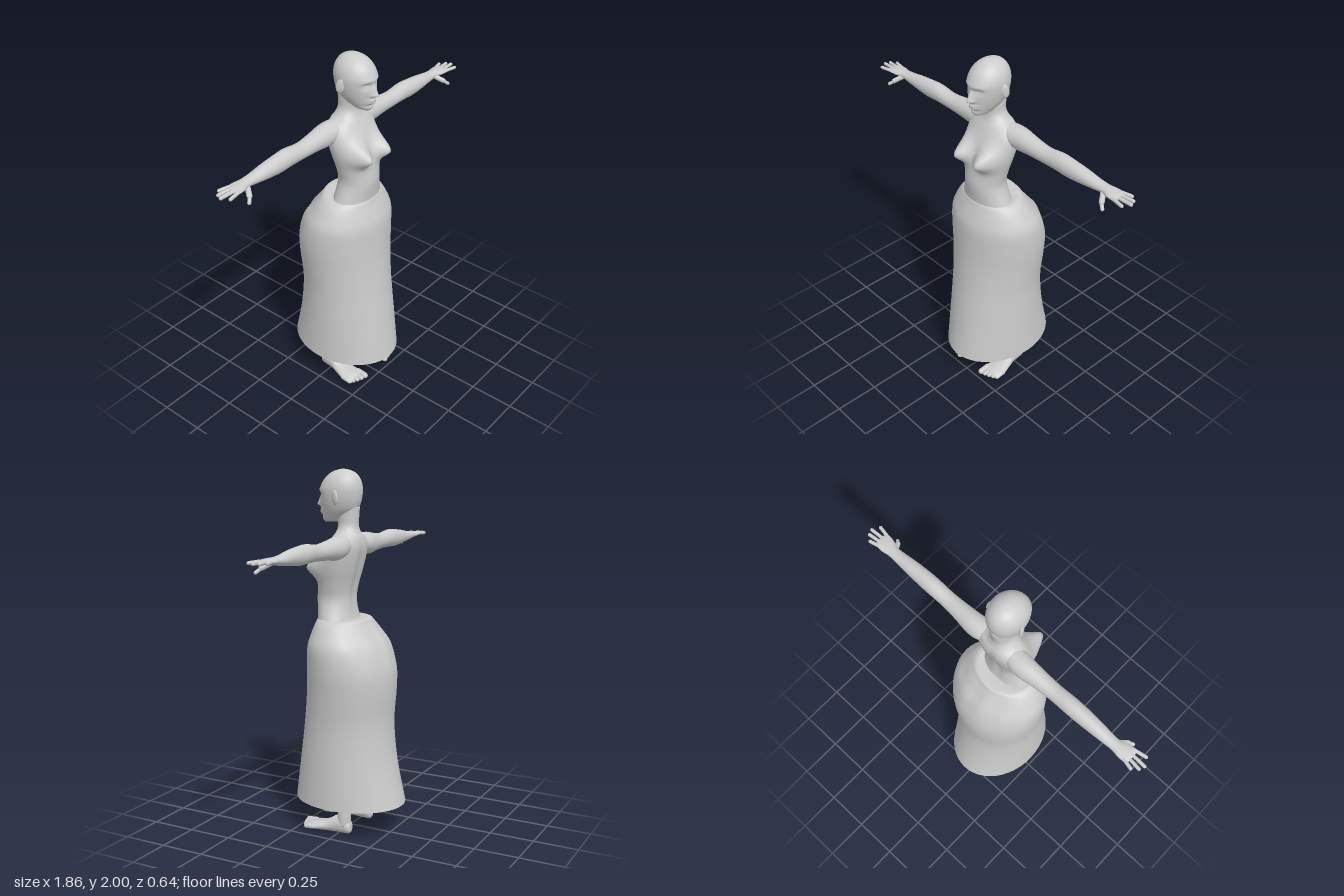
import * as THREE from 'three';

const bell = (v, s) => Math.exp(-(v * v) / (2 * s * s));

// Smooth interpolation between neighbouring cross-sections
function refine(sections, steps) {
  const rows = [], last = sections.length - 1;
  const at = (i) => sections[Math.max(0, Math.min(last, i))];
  for (let i = 0; i < last; i++) {
    for (let k = 0; k < steps; k++) {
      const u = k / steps, u2 = u * u, u3 = u2 * u;
      rows.push(at(i).map((b, c) => {
        const a = at(i - 1)[c], d = at(i + 1)[c], e = at(i + 2)[c];
        return 0.5 * (2 * b + (d - a) * u + (2 * a - 5 * b + 4 * d - e) * u2 + (3 * b - a - 3 * d + e) * u3);
      }));
    }
  }
  rows.push(at(last));
  return rows;
}

// Elliptical loft along +y; section = [y, centreX, centreZ, radiusX, radiusZ]
function loft(sections, { steps = 5, sides = 32, closed = true, deform } = {}) {
  const rows = refine(sections, steps);
  if (closed) {
    const cap = (r) => [r[0], r[1], r[2], 1e-4, 1e-4];
    rows.unshift(cap(rows[0]));
    rows.push(cap(rows[rows.length - 1]));
  }
  const pos = [], index = [], p = new THREE.Vector3();
  rows.forEach(([y, cx, cz, rx, rz], i) => {
    for (let j = 0; j < sides; j++) {
      const a = (j / sides) * Math.PI * 2;
      p.set(cx + rx * Math.sin(a), y, cz + rz * Math.cos(a));
      if (deform) deform(p, Math.cos(a));
      pos.push(p.x, p.y, p.z);
      if (i === rows.length - 1) continue;
      const k = (j + 1) % sides, b = i * sides, t = b + sides;
      index.push(b + j, b + k, t + k, b + j, t + k, t + j);
    }
  });
  const g = new THREE.BufferGeometry();
  g.setAttribute('position', new THREE.Float32BufferAttribute(pos, 3));
  g.setIndex(index);
  g.computeVertexNormals();
  return g;
}

// Rounded rod between two points
function rod(from, to, r) {
  const a = new THREE.Vector3(...from), b = new THREE.Vector3(...to);
  const dir = b.clone().sub(a);
  const g = new THREE.CapsuleGeometry(r, dir.length(), 5, 12);
  g.applyQuaternion(new THREE.Quaternion().setFromUnitVectors(new THREE.Vector3(0, 1, 0), dir.normalize()));
  return g.translate((a.x + b.x) / 2, (a.y + b.y) / 2, (a.z + b.z) / 2);
}

function mirrored(geometry) {
  const g = geometry.clone().scale(-1, 1, 1), ix = g.index;
  for (let i = 0; i < ix.count; i += 3) {
    const t = ix.getX(i);
    ix.setX(i, ix.getX(i + 1));
    ix.setX(i + 1, t);
  }
  g.computeVertexNormals();
  return g;
}

export function createModel() {
  const model = new THREE.Group();
  model.name = 'figure';
  const grey = new THREE.MeshStandardMaterial({ color: 0xcccccc, side: THREE.DoubleSide });
  grey.name = 'plain grey';
  const add = (name, geometry) => {
    const mesh = new THREE.Mesh(geometry, grey);
    mesh.name = name;
    model.add(mesh);
  };
  const addPair = (name, geometry) => {
    add(name + 'Left', geometry);
    add(name + 'Right', mirrored(geometry));
  };
  // Section given by half width and front and back depth
  const slice = ([y, w, front, back]) => [y, 0, (front + back) / 2, w, (front - back) / 2];

  // Torso and neck, with bust and spine groove
  add('torso', loft([
    [1.0, 0.2, 0.18, -0.09], [1.1, 0.19, 0.175, -0.07], [1.2, 0.152, 0.175, -0.03],
    [1.3, 0.118, 0.188, -0.02], [1.38, 0.128, 0.182, -0.03], [1.46, 0.148, 0.172, -0.05],
    [1.53, 0.158, 0.145, -0.065], [1.59, 0.156, 0.118, -0.073], [1.635, 0.125, 0.095, -0.066],
    [1.665, 0.078, 0.08, -0.052], [1.7, 0.053, 0.072, -0.043], [1.75, 0.05, 0.08, -0.046],
    [1.8, 0.052, 0.09, -0.05],
  ].map(slice), {
    sides: 64, steps: 6,
    deform: (p, c) => {
      if (c > 0) {
        const sy = p.y > 1.475 ? 0.045 : 0.034;
        p.z += 0.08 * bell(Math.abs(p.x) - 0.083, 0.034) * bell(p.y - 1.475, sy) * Math.min(1, c * 2.5);
      } else {
        p.z += 0.014 * bell(p.x, 0.02) * bell(p.y - 1.42, 0.13) * -c;
      }
    },
  }));

  // Head with brow, sockets, nose, lips and chin
  add('head', loft([
    [1.718, 0.022, 0.152, 0.09], [1.73, 0.042, 0.164, 0.05], [1.755, 0.061, 0.168, 0.0],
    [1.785, 0.077, 0.171, -0.035], [1.82, 0.089, 0.174, -0.052], [1.86, 0.097, 0.177, -0.06],
    [1.9, 0.098, 0.175, -0.062], [1.94, 0.087, 0.156, -0.053], [1.972, 0.064, 0.126, -0.032],
    [1.991, 0.036, 0.09, -0.002], [1.999, 0.008, 0.055, 0.035],
  ].map(slice), {
    sides: 80, steps: 7,
    deform: (p, c) => {
      if (c <= 0.2) return;
      const ax = Math.abs(p.x), y = p.y;
      const ridge = y < 1.812 ? bell(y - 1.812, 0.009) : Math.max(0, 1 - (y - 1.812) / 0.062);
      p.z += 0.032 * ridge * bell(p.x, 0.008 + 0.004 * ridge);
      p.z += 0.008 * bell(ax - 0.015, 0.006) * bell(y - 1.808, 0.008);
      p.z -= 0.015 * bell(ax - 0.037, 0.017) * bell(y - 1.863, 0.012);
      p.z += 0.006 * bell(ax - 0.037, 0.012) * bell(y - 1.859, 0.006);
      p.z += 0.005 * bell(ax - 0.03, 0.03) * bell(y - 1.887, 0.009);
      p.z += 0.013 * bell(p.x, 0.019) * (bell(y - 1.782, 0.006) + bell(y - 1.767, 0.006));
      p.z -= 0.005 * bell(p.x, 0.025) * bell(y - 1.753, 0.006);
    },
  }));
  const ear = new THREE.SphereGeometry(1, 18, 14);
  ear.scale(0.01, 0.039, 0.023).rotateX(0.2).rotateY(-0.4).translate(0.1, 1.853, 0.042);
  addPair('ear', ear);

  // Arms; section = [x, y, z, half height, half depth]
  const alongX = (list, options) =>
    loft(list.map(([x, y, z, h, d]) => [x, -y, z, h, d]), options).rotateZ(-Math.PI / 2);
  addPair('arm', alongX([
    [0.06, 1.61, 0.005, 0.042, 0.045], [0.12, 1.598, 0.0, 0.056, 0.06], [0.18, 1.592, -0.003, 0.061, 0.058],
    [0.26, 1.59, 0.0, 0.051, 0.05], [0.36, 1.588, 0.003, 0.043, 0.044], [0.46, 1.594, 0.003, 0.049, 0.045],
    [0.53, 1.591, 0.004, 0.049, 0.044], [0.62, 1.59, 0.004, 0.04, 0.04], [0.7, 1.588, 0.003, 0.028, 0.034],
    [0.755, 1.589, 0.003, 0.021, 0.032], [0.8, 1.591, 0.007, 0.017, 0.043], [0.84, 1.592, 0.01, 0.012, 0.045],
    [0.853, 1.592, 0.01, 0.007, 0.04],
  ]));
  [[-0.025, 0.882, -0.037], [-0.003, 0.912, -0.012], [0.02, 0.923, 0.016], [0.043, 0.9, 0.056]]
    .forEach(([z0, x1, z1], i) =>
      addPair('finger' + (i + 1), rod([0.83, 1.593, z0], [x1, 1.592, z1], 0.0095)));
  addPair('thumbBase', rod([0.755, 1.58, 0.02], [0.785, 1.555, 0.062], 0.014));
  addPair('thumb', rod([0.78, 1.557, 0.06], [0.807, 1.535, 0.08], 0.0095));

  // Legs, carried up under the skirt
  addPair('leg', loft([
    [0.05, 0.13, -0.028, 0.036, 0.038], [0.1, 0.131, -0.028, 0.036, 0.038], [0.16, 0.132, -0.032, 0.032, 0.034],
    [0.28, 0.131, -0.036, 0.046, 0.048], [0.4, 0.13, -0.038, 0.054, 0.056], [0.54, 0.125, -0.005, 0.049, 0.052],
    [0.75, 0.117, 0.02, 0.068, 0.072], [0.95, 0.105, 0.035, 0.085, 0.09], [1.1, 0.09, 0.05, 0.088, 0.095],
  ]));

  // Feet; section = [z, x, y, half width, half height]
  addPair('foot', loft([
    [-0.07, 0.128, 0.037, 0.016, 0.02], [-0.058, 0.128, 0.042, 0.031, 0.038], [-0.02, 0.13, 0.054, 0.037, 0.052],
    [0.02, 0.133, 0.051, 0.039, 0.048], [0.07, 0.138, 0.038, 0.047, 0.033], [0.13, 0.143, 0.031, 0.06, 0.024],
    [0.175, 0.143, 0.027, 0.063, 0.018], [0.195, 0.142, 0.024, 0.054, 0.012],
  ].map(([z, x, y, w, h]) => [z, x, -y, w, h])).rotateX(Math.PI / 2));
  [[0.095, 0.218, 0.0175], [0.125, 0.215, 0.013], [0.15, 0.207, 0.012], [0.173, 0.196, 0.0115], [0.194, 0.182, 0.011]]
    .forEach(([x, z, r], i) =>
      addPair('toe' + (i + 1), rod([x, 0.028, z - 0.05], [x, 0.024, z], r)));

  // Long open skirt with a fuller back and gathered waist
  add('skirt', loft([
    [0.17, 0.258, 0.32, -0.32], [0.4, 0.252, 0.287, -0.267], [0.62, 0.25, 0.256, -0.243],
    [0.8, 0.264, 0.237, -0.252], [0.93, 0.275, 0.231, -0.247], [1.05, 0.27, 0.225, -0.205],
    [1.12, 0.238, 0.205, -0.155], [1.175, 0.2, 0.185, -0.115], [1.2, 0.165, 0.177, -0.095],
    [1.196, 0.14, 0.165, -0.02],
  ].map(slice), {
    sides: 48, steps: 4, closed: false,
    deform: (p, c) => {
      if (c < 0) p.z -= 0.006 * c * Math.sin(p.x * 45) * bell(p.y - 1.08, 0.07);
    },
  }));

  return model;
}
